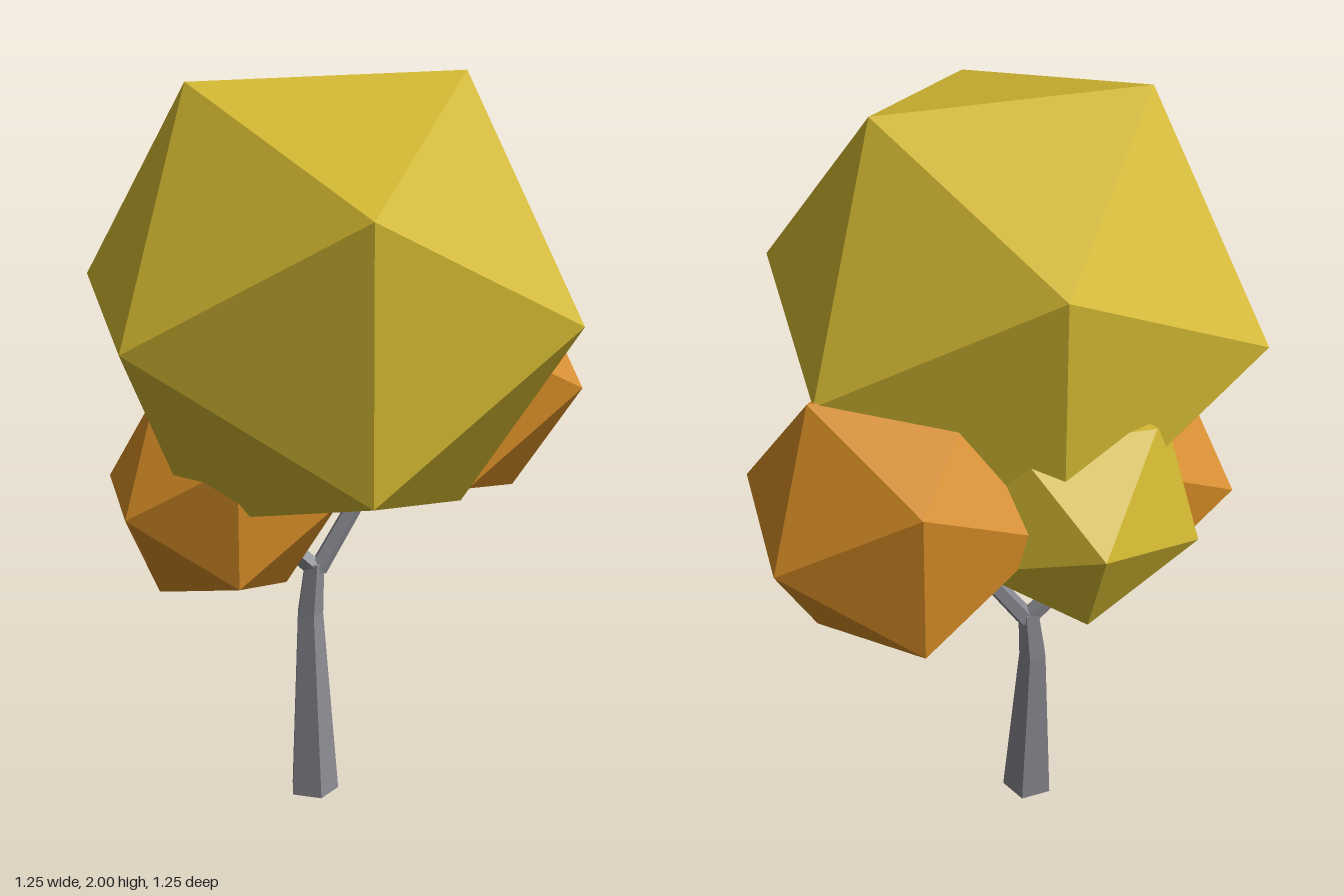
import * as THREE from 'three';

const SIDES = 5;

// Five-sided limb through rings [x, y, z, radius]; every ring is square to axis
function limbGeometry(rings, axis, turn) {
  const tilt = new THREE.Quaternion().setFromUnitVectors(new THREE.Vector3(0, 1, 0), axis.clone().normalize());
  const pos = [], idx = [];
  for (const [x, y, z, r] of rings) {
    for (let i = 0; i < SIDES; i++) {
      const a = turn + (i / SIDES) * Math.PI * 2;
      const p = new THREE.Vector3(Math.sin(a) * r, 0, Math.cos(a) * r).applyQuaternion(tilt);
      pos.push(p.x + x, p.y + y, p.z + z);
    }
  }
  for (let k = 0; k < rings.length - 1; k++) {
    for (let i = 0; i < SIDES; i++) {
      const a = k * SIDES + i, b = k * SIDES + (i + 1) % SIDES;
      idx.push(a, b, b + SIDES, a, b + SIDES, a + SIDES);
    }
  }
  // end caps
  const top = (rings.length - 1) * SIDES;
  for (let i = 1; i < SIDES - 1; i++) {
    idx.push(0, i + 1, i, top, top + i, top + i + 1);
  }
  const indexed = new THREE.BufferGeometry();
  indexed.setAttribute('position', new THREE.Float32BufferAttribute(pos, 3));
  indexed.setIndex(idx);
  const geo = indexed.toNonIndexed(); // faceted normals
  geo.computeVertexNormals();
  return geo;
}

export function createModel() {
  const tree = new THREE.Group();
  tree.name = 'tree';

  const material = (name, color) => {
    const m = new THREE.MeshStandardMaterial({ color });
    m.name = name;
    return m;
  };
  const bark = material('greyBark', 0x8a8b92);
  const yellow = material('yellowLeaves', 0xd2b731);
  const orange = material('orangeLeaves', 0xd48b25);

  const add = (name, geo, mat) => {
    const mesh = new THREE.Mesh(geo, mat);
    mesh.name = name;
    tree.add(mesh);
    return mesh;
  };

  // Leaning, tapered trunk
  add('trunk', limbGeometry([
    [-0.077, 0, -0.138, 0.068],
    [-0.078, 0.5, -0.175, 0.037],
    [-0.065, 0.645, -0.176, 0.028],
  ], new THREE.Vector3(0, 1, 0), 0.15), bark);

  // Forked branches
  const branch = (name, from, to, r0, r1) => {
    const axis = new THREE.Vector3(...to).sub(new THREE.Vector3(...from));
    add(name, limbGeometry([[...from, r0], [...to, r1]], axis, 0.15), bark);
  };
  branch('leftBranch', [-0.055, 0.625, -0.176], [0.13, 0.92, -0.215], 0.026, 0.022);
  branch('rightBranch', [-0.06, 0.625, -0.176], [-0.225, 0.79, -0.18], 0.026, 0.021);

  // Faceted leaf clumps
  const clump = (name, x, y, z, radius, mat) => {
    const mesh = add(name, new THREE.IcosahedronGeometry(radius, 0), mat);
    mesh.position.set(x, y, z);
    return mesh;
  };
  clump('crown', -0.072, 1.445, 0.07, 0.654, yellow);
  clump('leftClump', 0.293, 1.122, -0.273, 0.392, orange);
  clump('rightClump', -0.333, 0.936, 0, 0.312, orange);
  clump('backClump', -0.138, 1.108, -0.3, 0.328, yellow).rotation.x = -0.45;

  return tree;
}
